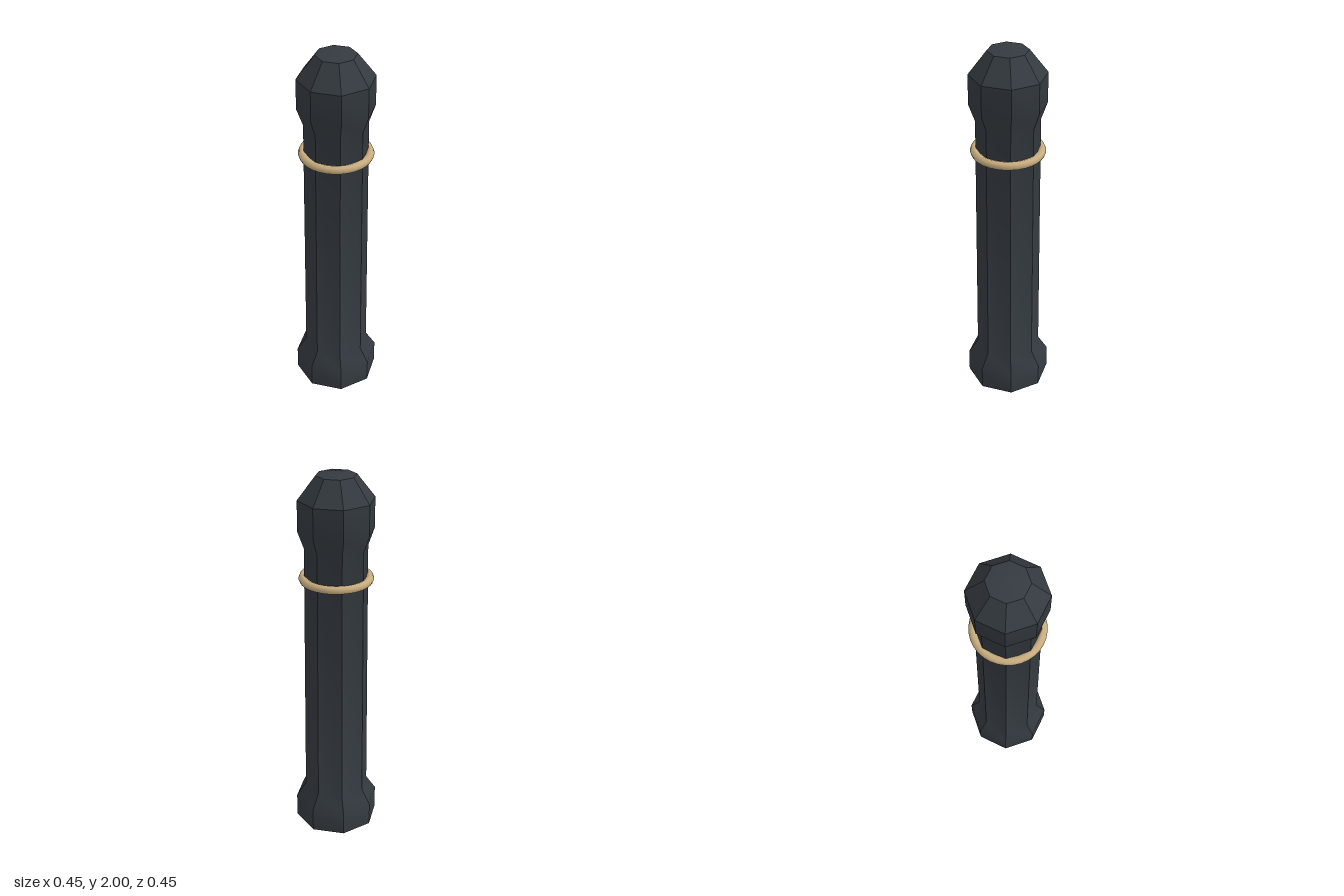
import * as THREE from 'three';
import { toCreasedNormals } from 'three/addons/utils/BufferGeometryUtils.js';

export function createModel() {
  const group = new THREE.Group();
  group.name = 'bollard';

  const iron = new THREE.MeshStandardMaterial({ color: 0x343a40, side: THREE.DoubleSide });
  iron.name = 'dark iron';
  const brass = new THREE.MeshStandardMaterial({ color: 0xc8ad7f });
  brass.name = 'pale brass';

  // Eight-sided post, open underneath: flared foot, tapering shaft, bulbous head
  const profile = [
    [0.226, 0], [0.226, 0.13], [0.174, 0.21], [0.164, 1.61],
    [0.196, 1.7], [0.196, 1.86], [0.103, 1.98], [0, 2],
  ].map(([r, y]) => new THREE.Vector2(r, y));
  // Facets stay sharp around the post and blend along its height
  const post = new THREE.Mesh(toCreasedNormals(new THREE.LatheGeometry(profile, 8), 0.62), iron);
  post.name = 'post';
  group.add(post);

  // Ring around the neck
  const ring = new THREE.Mesh(new THREE.TorusGeometry(0.171, 0.022, 8, 32), brass);
  ring.name = 'neckRing';
  ring.rotation.x = Math.PI / 2;
  ring.position.y = 1.445;
  group.add(ring);

  return group;
}
